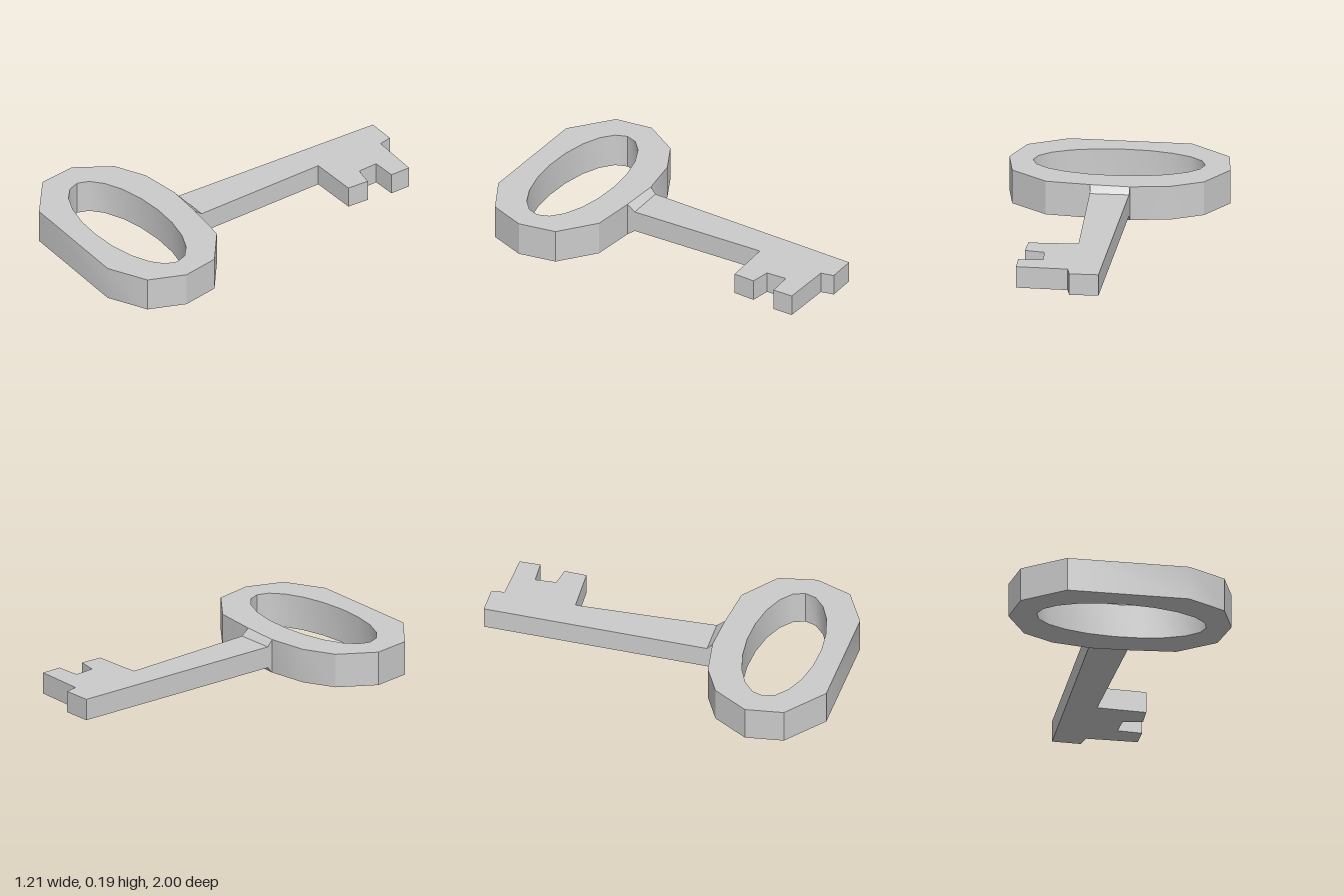
import * as THREE from 'three';
import { toCreasedNormals } from 'three/addons/utils/BufferGeometryUtils.js';

const material = new THREE.MeshStandardMaterial({ color: 0xcccccc });
const outline = (points) => points.map(([x, z]) => new THREE.Vector2(x, -z));

// Stands a flat [x, z] outline up between two heights
function slab(name, shape, bottom, top) {
  const geometry = new THREE.ExtrudeGeometry(shape, { depth: top - bottom, bevelEnabled: false });
  geometry.rotateX(-Math.PI / 2).translate(0, bottom, 0);
  const mesh = new THREE.Mesh(toCreasedNormals(geometry, 0.52), material);
  mesh.name = name;
  return mesh;
}

export function createModel() {
  const group = new THREE.Group();
  group.name = 'key';
  const height = 0.19, bladeBottom = 0.035, bladeTop = 0.155, neckZ = 0.25;

  // Bow: thick faceted ring with an oval opening
  const bow = new THREE.Shape(outline([
    [-0.09, 0.28], [-0.31, 0.31], [-0.48, 0.395], [-0.605, 0.59], [-0.58, 0.8], [-0.36, 0.98],
    [0.305, 1], [0.52, 0.89], [0.6, 0.69], [0.565, 0.48], [0.37, 0.325], [0.125, 0.295],
  ]));
  const hole = [];
  for (let i = 0; i < 20; i++) {
    const a = (i / 20) * Math.PI * 2;
    hole.push([0.003 + 0.465 * Math.cos(a), 0.655 + 0.205 * Math.sin(a)]);
  }
  bow.holes.push(new THREE.Path(outline(hole)));
  group.add(slab('bow', bow, 0, height));

  // Blade: tapering shaft with two teeth on its left side
  const blade = new THREE.Shape(outline([
    [-0.089, neckZ], [0.124, neckZ], [0.11, -0.53], [0.38, -0.537], [0.387, -0.66], [0.28, -0.68],
    [0.275, -0.795], [0.41, -0.8], [0.41, -0.916], [0.13, -0.928], [0.115, -1], [-0.043, -1],
  ]));
  group.add(slab('blade', blade, bladeBottom, bladeTop));

  // Neck: short collar flaring from the blade's thickness to the bow's
  const neck = new THREE.BoxGeometry(1, 1, 1);
  const p = neck.attributes.position;
  for (let i = 0; i < p.count; i++) {
    const left = p.getX(i) > 0, up = p.getY(i) > 0, front = p.getZ(i) > 0;
    p.setXYZ(i,
      left ? (front ? 0.125 : 0.124) : (front ? -0.09 : -0.089),
      front ? (up ? height : 0) : (up ? bladeTop : bladeBottom),
      front ? (left ? 0.295 : 0.28) : neckZ);
  }
  const neckMesh = new THREE.Mesh(toCreasedNormals(neck, 0.52), material);
  neckMesh.name = 'neck';
  group.add(neckMesh);

  return group;
}
